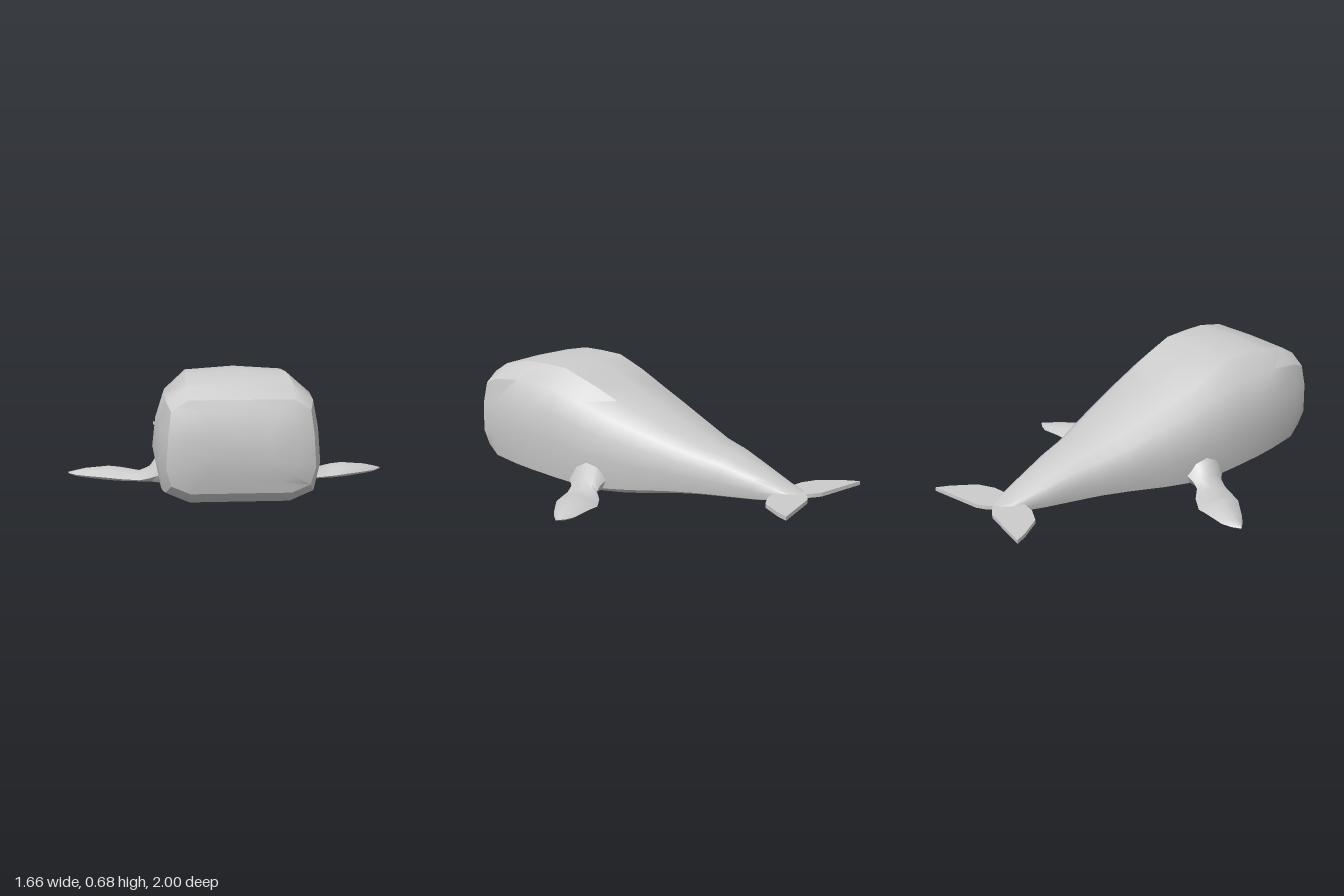
import * as THREE from 'three';
import { toCreasedNormals } from 'three/addons/utils/BufferGeometryUtils.js';

const material = new THREE.MeshStandardMaterial({ color: 0xcccccc });
const lerp = THREE.MathUtils.lerp;

// Skin a list of equally long closed rings of [x, y, z] points.
function loft(rings, crease) {
  const positions = [];
  const same = (a, b) => a.every((v, i) => Math.abs(v - b[i]) < 1e-6);
  const tri = (a, b, c) => {
    if (!same(a, b) && !same(b, c) && !same(a, c)) positions.push(...a, ...b, ...c);
  };
  for (let i = 0; i < rings.length - 1; i++) {
    const n = rings[i].length;
    for (let j = 0; j < n; j++) {
      const k = (j + 1) % n;
      const [a, b, c, d] = [rings[i][j], rings[i][k], rings[i + 1][j], rings[i + 1][k]];
      tri(a, b, c);
      tri(b, d, c);
    }
  }
  const geometry = new THREE.BufferGeometry();
  geometry.setAttribute('position', new THREE.Float32BufferAttribute(positions, 3));
  return toCreasedNormals(geometry, crease);
}

function addMesh(group, name, geometry) {
  const mesh = new THREE.Mesh(geometry, material);
  mesh.name = name;
  group.add(mesh);
}

// Half cross-sections from top to bottom: x as part of half width, y as part of height.
const snout = [[0, 1], [0.7, 1], [0.93, 0.88], [0.97, 0.62], [1, 0.27], [0.93, 0.08], [0.68, 0], [0, 0]];
const trunk = [[0, 1], [0.6, 0.975], [0.86, 0.83], [0.96, 0.64], [1, 0.42], [0.9, 0.1], [0.53, 0], [0, 0]];

function bodySection(top, bottom, width, blend) {
  const half = snout.map(([x, y], i) => [
    lerp(x, trunk[i][0], blend) * width,
    lerp(bottom, top, lerp(y, trunk[i][1], blend)),
  ]);
  const mirrored = half.slice(1, -1).reverse().map(([x, y]) => [-x, y]);
  return [...half, ...mirrored];
}

function bodyGeometry() {
  // The blunt face bulges slightly: rings grow from its centre to its rim.
  const rim = bodySection(0.58, 0.145, 0.345, 0);
  const rings = [0, 0.4, 0.75, 1].map((s) => rim.map(([x, y]) => {
    const px = x * s;
    const py = 0.36 + (y - 0.36) * s;
    const sideways = Math.max(0, Math.abs(px) - 0.24) / 0.1;
    return [px, py, 1 - 0.025 * sideways - 0.038 * ((py - 0.36) / 0.22) ** 2];
  }));
  // z, top, bottom, half width, blend from snout to trunk
  const stations = [
    [0.87, 0.64, 0.085, 0.378, 0.4],
    [0.72, 0.677, 0.052, 0.393, 0.8],
    [0.6, 0.68, 0.035, 0.4, 1],
    [0.46, 0.673, 0.018, 0.392, 1],
    [0.3, 0.61, 0.003, 0.375, 1],
    [0.13, 0.53, 0.015, 0.345, 1],
    [0, 0.475, 0.03, 0.31, 1],
    [-0.2, 0.39, 0.06, 0.25, 1],
    [-0.35, 0.33, 0.073, 0.197, 1],
    [-0.48, 0.295, 0.08, 0.162, 1],
    [-0.65, 0.23, 0.09, 0.116, 1],
    [-0.76, 0.185, 0.102, 0.085, 1],
    [-0.82, 0.16, 0.117, 0.07, 1],
    [-0.89, 0.148, 0.132, 0.025, 1],
    [-0.89, 0.14, 0.14, 0, 1],
  ];
  for (const [z, top, bottom, width, blend] of stations) {
    rings.push(bodySection(top, bottom, width, blend).map(([x, y]) => [x, y, z]));
  }
  return loft(rings, 0.6);
}

function flipperGeometry(side) {
  // x, front z, back z, bottom, top
  const stations = [
    [0.3, 0.34, 0.12, 0.05, 0.25],
    [0.365, 0.33, 0.12, 0.05, 0.19],
    [0.405, 0.285, 0.11, 0.05, 0.125],
    [0.46, 0.262, 0.05, 0.047, 0.088],
    [0.56, 0.225, -0.02, 0.042, 0.097],
    [0.62, 0.2, -0.024, 0.042, 0.103],
    [0.74, 0.11, -0.03, 0.042, 0.085],
    [0.79, 0.065, -0.01, 0.044, 0.072],
    [0.83, 0.022, 0.012, 0.052, 0.06],
    [0.83, 0.017, 0.017, 0.055, 0.055],
  ];
  const rings = stations.map(([x, front, back, bottom, top]) => {
    const points = [[0.5, 1], [0.8, 0.8], [1, 0.35], [0.85, 0.05], [0.5, 0], [0.15, 0.05], [0, 0.35], [0.2, 0.8]];
    const ring = points.map(([u, v]) => [x * side, lerp(bottom, top, v), lerp(back, front, u)]);
    return side > 0 ? ring : ring.reverse();
  });
  return loft(rings, 0.9);
}

// Thin plate with a notch in the middle of its trailing edge.
function flukesGeometry() {
  const half = [[0.03, -0.92], [0.07, -0.945], [0.36, -1], [0.33, -0.935], [0.25, -0.815], [0.16, -0.77], [0.08, -0.76]];
  const outline = [[0, -0.893], ...half, ...half.map(([x, z]) => [-x, z]).reverse()];
  const shape = new THREE.Shape(outline.map(([x, z]) => new THREE.Vector2(x, -z)));
  const geometry = new THREE.ExtrudeGeometry(shape, { depth: 0.02, bevelEnabled: false });
  geometry.rotateX(-Math.PI / 2);
  geometry.translate(0, 0.13, 0);
  return geometry;
}

export function createModel() {
  const whale = new THREE.Group();
  whale.name = 'whale';
  addMesh(whale, 'body', bodyGeometry());
  addMesh(whale, 'leftFlipper', flipperGeometry(1));
  addMesh(whale, 'rightFlipper', flipperGeometry(-1));
  addMesh(whale, 'tailFlukes', flukesGeometry());
  return whale;
}
